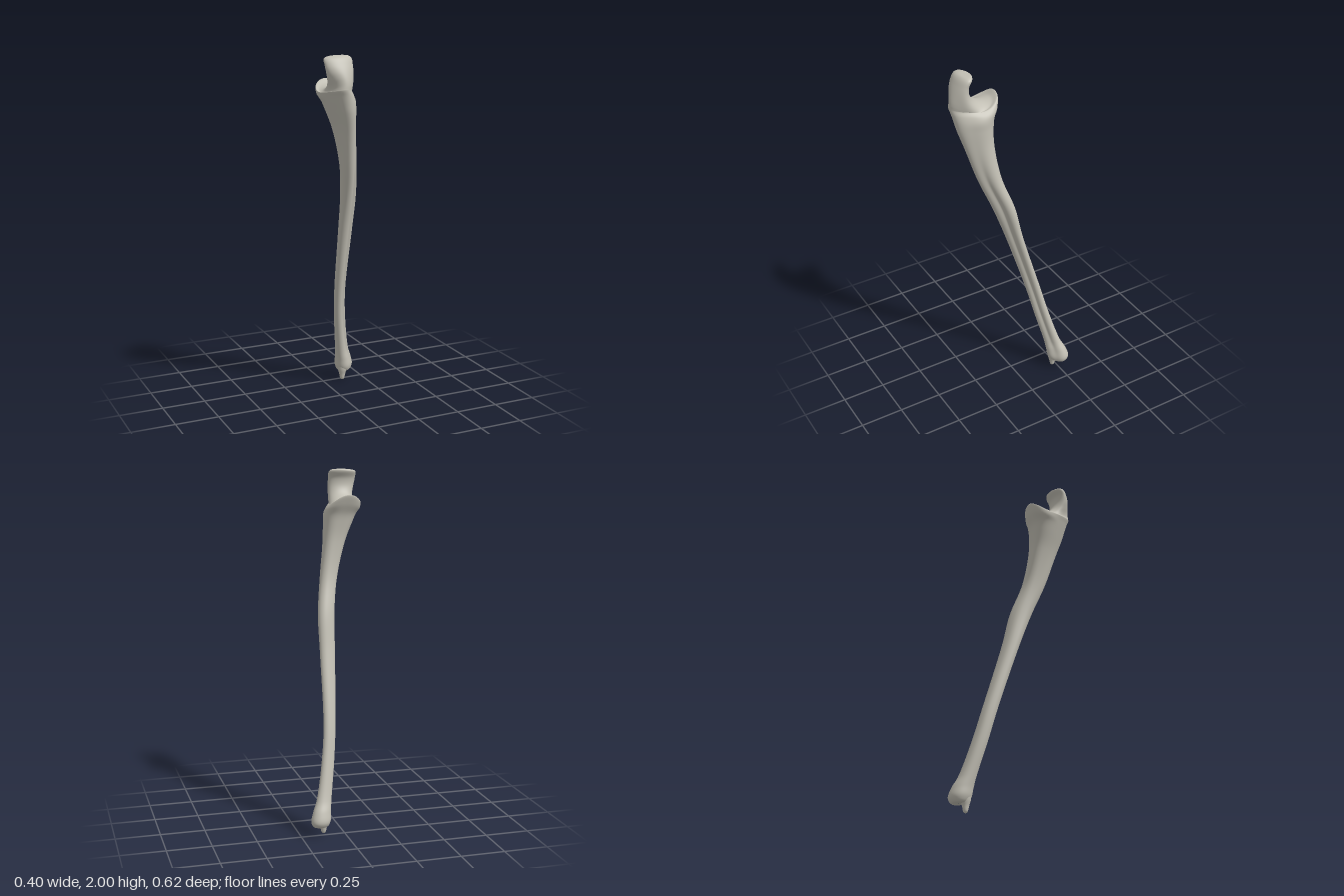
import * as THREE from 'three';

const COLS = 56, STEPS = 6;
const { sin, cos, PI } = Math;

// Cross-section filling -1..1: a circle with an optional two-edged crest or a wedge narrow at +z
function section(crest, wedge) {
  const pts = Array.from({ length: COLS }, (_, j) => {
    const a = j / COLS * 2 * PI;
    const r = 1 + crest * (0.27 * cos(2 * (a - 0.75 * PI)) + 0.12 * cos(3 * (a - 1.25 * PI)))
      + wedge * 0.1 * cos(3 * (a - PI / 2));
    return new THREE.Vector2(r * cos(a), r * sin(a));
  });
  const box = new THREE.Box2().setFromPoints(pts);
  const centre = box.getCenter(new THREE.Vector2()), half = box.getSize(new THREE.Vector2()).multiplyScalar(0.5);
  return pts.map(p => p.sub(centre).divide(half));
}

// Ring between x0 and x1, tilted from its back (zb, yb) to its front (zf, yf), with drooping sides
function ring({ crest = 0, wedge = 0, x0, x1, zb, yb, zf, yf, droop = 0 }) {
  return section(crest, wedge).map(({ x, y }) => new THREE.Vector3(
    THREE.MathUtils.lerp(x0, x1, (x + 1) / 2),
    THREE.MathUtils.lerp(yb, yf, (y + 1) / 2) - droop * x * x,
    THREE.MathUtils.lerp(zb, zf, (y + 1) / 2)
  ));
}

// Smooth skin through rings ordered from bottom to top
function loft(rings) {
  const rows = (rings.length - 1) * STEPS, pos = [], index = [];
  const curves = rings[0].map((_, j) => new THREE.CatmullRomCurve3(rings.map(r => r[j])));
  for (let i = 0; i <= rows; i++)
    for (const c of curves) pos.push(...c.getPoint(i / rows).toArray());
  for (let i = 0; i < rows; i++)
    for (let j = 0; j < COLS; j++) {
      const a = i * COLS + j, b = i * COLS + (j + 1) % COLS;
      index.push(a, a + COLS, b, b, a + COLS, b + COLS);
    }
  const g = new THREE.BufferGeometry();
  g.setAttribute('position', new THREE.Float32BufferAttribute(pos, 3));
  g.setIndex(index);
  g.computeVertexNormals();
  return g;
}

// Level shaft ring: crested along its length, rounder at the head, a wedge near the elbow
function shaftRing([y, x0, x1, zb, zf]) {
  const wedge = THREE.MathUtils.smoothstep(y, 1.2, 1.7);
  const crest = THREE.MathUtils.smoothstep(y, -0.2, 0.4) * (1 - wedge);
  return ring({ crest, wedge, x0, x1, zb, yb: y, zf, yf: y });
}

// Cup ring: the back edge runs along a circular hollow while the front edge climbs the outer curve
function cupRing(t) {
  const a = (-50 + 180 * t) * PI / 180;
  return ring({
    wedge: 0.8 * (1 - t),
    x0: -0.186 + 0.012 * sin(2 * PI * (t - 0.15)),
    x1: -0.04 + 0.02 * (1 - t) ** 3,
    zb: 0.11 + 0.095 * sin(a),
    yb: 1.925 - 0.095 * cos(a),
    zf: 0.311 - 0.055 * t ** 3,
    yf: 1.825 + 0.16 * t ** 1.5,
    droop: 0.045 * (1 - t) ** 2
  });
}

export function createModel() {
  const group = new THREE.Group();
  group.name = 'forearmBone';
  const bone = new THREE.MeshStandardMaterial({ color: 0xc2bfb4 });
  bone.name = 'bone';
  const add = (name, geometry) => {
    const mesh = new THREE.Mesh(geometry, bone);
    mesh.name = name;
    group.add(mesh);
    return mesh;
  };

  // Lower head and shaft: height, x range, z range
  const shaft = [
    [0.058, 0.138, 0.142, -0.256, -0.252],
    [0.056, 0.1, 0.18, -0.29, -0.215],
    [0.085, 0.083, 0.196, -0.309, -0.194],
    [0.14, 0.077, 0.183, -0.295, -0.186],
    [0.2, 0.068, 0.158, -0.266, -0.178],
    [0.4, 0.036, 0.115, -0.207, -0.13],
    [0.6, 0.014, 0.09, -0.156, -0.08],
    [1.0, -0.016, 0.079, -0.042, 0.044],
    [1.2, -0.03, 0.075, 0.004, 0.116],
    [1.4, -0.06, 0.044, 0.07, 0.195],
    [1.6, -0.112, 0.016, 0.092, 0.255],
    [1.7, -0.152, 0.011, 0.086, 0.285]
  ].map(shaftRing);

  // Flare below the cup
  const flare = [
    ring({ wedge: 1, x0: -0.175, x1: 0.01, zb: 0.076, yb: 1.755, zf: 0.295, yf: 1.75 }),
    ring({ wedge: 1, x0: -0.192, x1: 0, zb: 0.05, yb: 1.815, zf: 0.304, yf: 1.795, droop: 0.025 })
  ];

  // Cup rim, hollow and hook
  const cup = Array.from({ length: 8 }, (_, i) => cupRing(i / 7));

  // Rounded top closing to a point
  const top = [
    ring({ x0: -0.16, x1: -0.055, zb: 0.184, yb: 1.997, zf: 0.238, yf: 1.998 }),
    ring({ x0: -0.108, x1: -0.106, zb: 0.209, yb: 2, zf: 0.211, yf: 2 })
  ];
  add('shaftAndElbowEnd', loft([...shaft, ...flare, ...cup, ...top]));

  // Small pointed tip beside the lower head
  const tip = new THREE.SplineCurve([[0, 0], [0.012, 0.01], [0.019, 0.04], [0.028, 0.075], [0.028, 0.12], [0, 0.14]]
    .map(([r, y]) => new THREE.Vector2(r, y)));
  add('lowerSpike', new THREE.LatheGeometry(tip.getPoints(24), 24)).position.set(0.116, 0, -0.226);

  return group;
}
